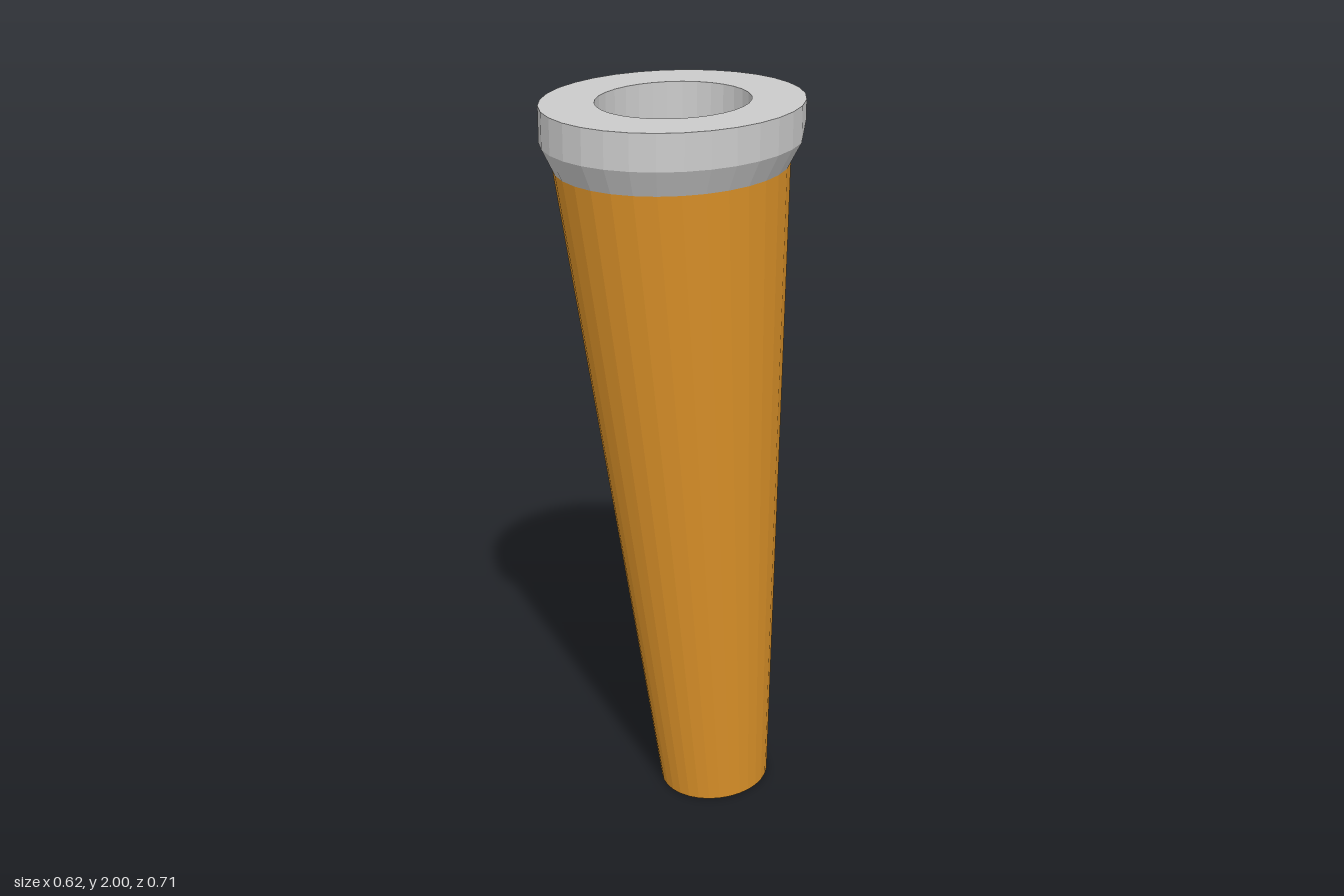
import * as THREE from 'three';

const SIDES = 32;

// One elliptical ring: height, half widths and the z of its centre
const ring = (y, rx, rz, cz) => ({ y, rx, rz, cz });

// Skins consecutive rings; rings run so that the outside faces outward
function loft(name, rings, color, adjust) {
  const positions = [];
  const index = [];
  rings.forEach((r, j) => {
    for (let i = 0; i < SIDES; i++) {
      const a = (i / SIDES) * Math.PI * 2;
      const lift = adjust ? adjust(j, i) : 0;
      positions.push(r.rx * Math.cos(a), r.y + lift, r.cz - r.rz * Math.sin(a));
    }
  });
  for (let j = 0; j < rings.length - 1; j++) {
    for (let i = 0; i < SIDES; i++) {
      const n = (i + 1) % SIDES;
      const a = j * SIDES + i, b = j * SIDES + n;
      const c = b + SIDES, d = a + SIDES;
      // Rings of zero radius close the surface with a fan
      if (rings[j].rx > 0) index.push(a, b, c);
      if (rings[j + 1].rx > 0) index.push(a, c, d);
      else if (rings[j].rx === 0) continue;
    }
  }
  const geometry = new THREE.BufferGeometry();
  geometry.setAttribute('position', new THREE.Float32BufferAttribute(positions, 3));
  geometry.setIndex(index);
  geometry.computeVertexNormals();
  const mesh = new THREE.Mesh(geometry, new THREE.MeshStandardMaterial({ color, flatShading: true }));
  mesh.name = name;
  return mesh;
}

export function createModel() {
  const model = new THREE.Group();
  model.name = 'taperedLeg';

  // Leaning, tapered shaft with a closed foot
  model.add(loft('shaft', [
    ring(0, 0, 0, -0.192),
    ring(0, 0.145, 0.165, -0.192),
    ring(1.845, 0.276, 0.315, 0.01),
  ], 0xe0952a));

  // Collar: bevel, upright band, flat top and a round recess with a floor
  const collar = [
    ring(1.845, 0.276, 0.315, 0.01),
    ring(1.91, 0.308, 0.35, 0.007),
    ring(2, 0.308, 0.35, 0.007),
    ring(2, 0.181, 0.206, 0.006),
    ring(1.86, 0.181, 0.206, 0.006),
    ring(1.86, 0, 0, 0.006),
  ];
  // A single corner of the bevel is raised into a small notch
  const notch = (j, i) => (j === 1 && i === 3 ? 0.04 : 0);
  model.add(loft('collar', collar, 0xcccccc, notch));

  return model;
}
